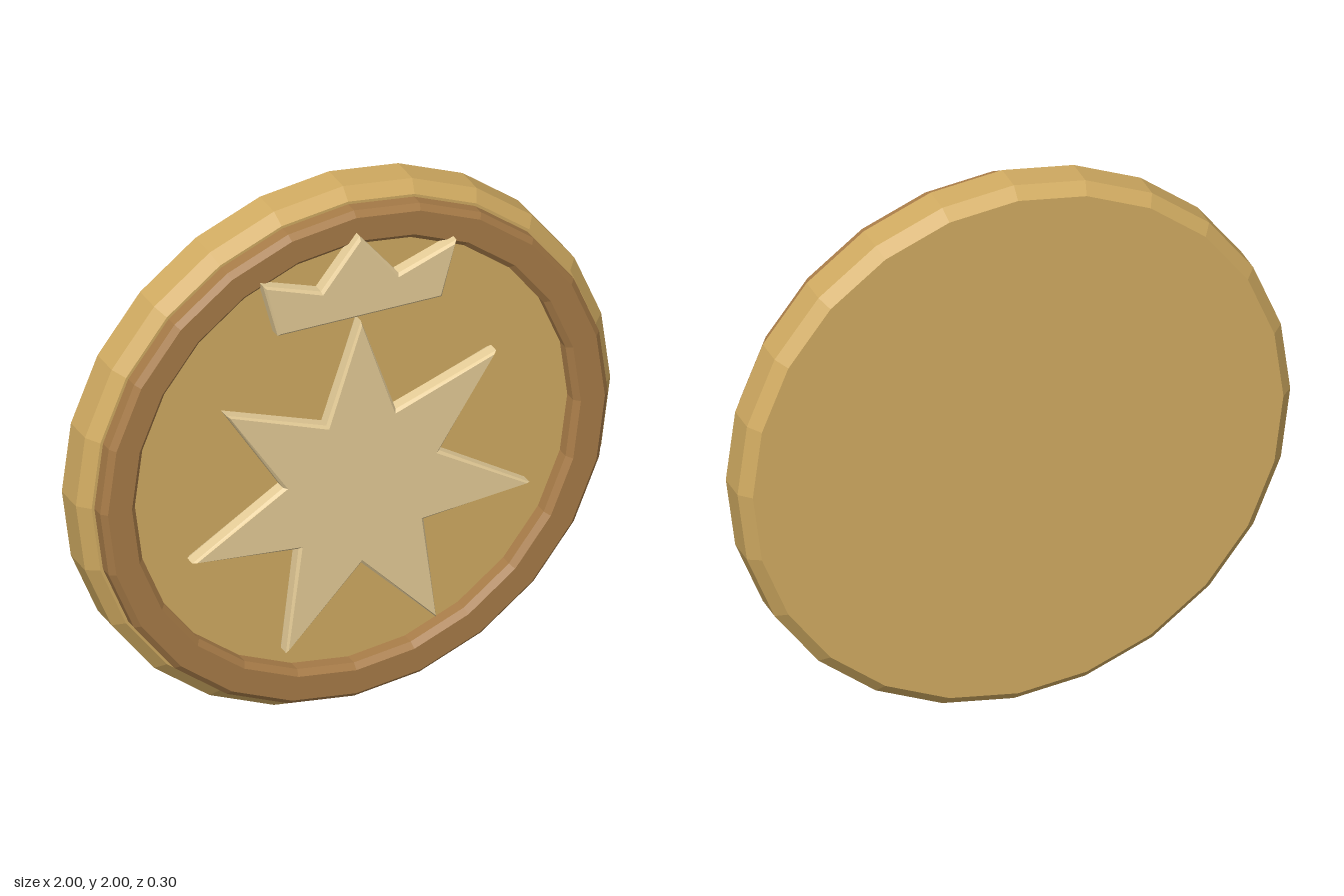
import * as THREE from 'three';

const SIDES = 24;

export function createModel() {
  const gold = new THREE.MeshStandardMaterial({ color: 0xd2ac62, flatShading: true });
  gold.name = 'gold';
  const bronze = new THREE.MeshStandardMaterial({ color: 0xa87c48, flatShading: true });
  bronze.name = 'bronze';
  const paleGold = new THREE.MeshStandardMaterial({ color: 0xe6cd98, flatShading: true });
  paleGold.name = 'paleGold';

  const model = new THREE.Group();
  model.name = 'medal';

  const add = (name, geometry, material, y) => {
    const mesh = new THREE.Mesh(geometry, material);
    mesh.name = name;
    mesh.position.y = y;
    model.add(mesh);
  };

  // Turn a [radius, z] profile about the z axis
  const turned = (profile) =>
    new THREE.LatheGeometry(profile.map(([r, z]) => new THREE.Vector2(r, z)), SIDES).rotateX(Math.PI / 2);

  // Emblem plate bevelled on both faces, spanning z = back to front
  const emblem = (points, back, front) => {
    const bevel = 0.01;
    const shape = new THREE.Shape(points.map(([x, y]) => new THREE.Vector2(x, y)));
    return new THREE.ExtrudeGeometry(shape, {
      depth: front - back - 2 * bevel,
      bevelEnabled: true,
      bevelThickness: bevel,
      bevelSize: bevel,
      bevelOffset: -bevel,
      bevelSegments: 1,
    }).translate(0, 0, back + bevel);
  };

  // Chamfered disc
  add('disc', turned([
    [0, -0.15], [0.96, -0.15], [1, -0.11], [1, 0], [0.96, 0.04], [0, 0.04],
  ]), gold, 1);

  // Bevelled ring standing on the disc
  add('ring', turned([
    [0.82, 0.03], [0.95, 0.03], [0.95, 0.085], [0.93, 0.105],
    [0.84, 0.105], [0.82, 0.085], [0.82, 0.03],
  ]), bronze, 1);

  // Seven-pointed star
  const star = [];
  for (let i = 0; i < 14; i++) {
    const angle = Math.PI / 2 + (i * Math.PI) / 7;
    const r = i % 2 ? 0.299 : 0.647;
    star.push([r * Math.cos(angle), r * Math.sin(angle)]);
  }
  add('star', emblem(star, 0.09, 0.15), paleGold, 0.9);

  // Three-pointed crown
  add('crown', emblem([
    [-0.307, 1.56], [0.307, 1.56], [0.362, 1.768], [0.145, 1.693],
    [0, 1.873], [-0.145, 1.693], [-0.362, 1.768],
  ], 0.08, 0.14), paleGold, 0);

  return model;
}
